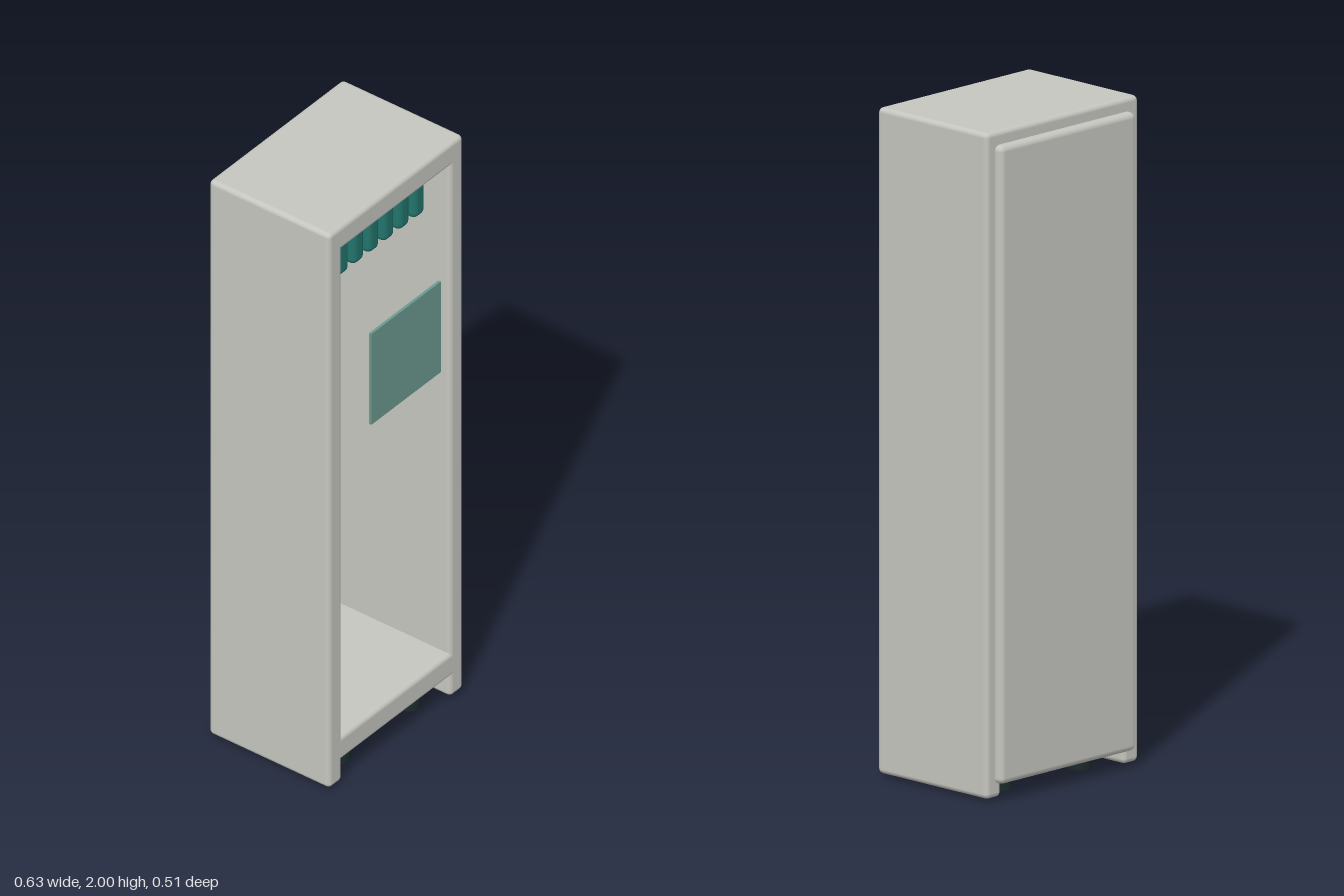
import * as THREE from 'three';
import { RoundedBoxGeometry } from 'three/addons/geometries/RoundedBoxGeometry.js';

function flat(name, color) {
  const m = new THREE.MeshStandardMaterial({ color });
  m.name = name;
  return m;
}

export function createModel() {
  const model = new THREE.Group();
  model.name = 'cabinet';
  const shell = flat('warm grey', 0xc6c6c0);
  const teal = flat('deep teal', 0x22736b);
  const glass = flat('pale teal', 0x6a9a8f);
  const rubber = flat('dark rubber', 0x1c2a2a);

  function add(name, geometry, material, x, y, z) {
    const mesh = new THREE.Mesh(geometry, material);
    mesh.name = name;
    mesh.position.set(x, y, z);
    model.add(mesh);
  }
  // Rounded slab given by its lower and upper limits on each axis
  function slab(name, material, [x0, x1], [y0, y1], [z0, z1], radius) {
    add(name, new RoundedBoxGeometry(x1 - x0, y1 - y0, z1 - z0, 3, radius), material,
      (x0 + x1) / 2, (y0 + y1) / 2, (z0 + z1) / 2);
  }

  // Open-fronted case
  const depth = [-0.227, 0.217];
  slab('leftSide', shell, [0.253, 0.315], [0.008, 2], depth, 0.015);
  slab('rightSide', shell, [-0.315, -0.253], [0.008, 2], depth, 0.015);
  slab('topPanel', shell, [-0.315, 0.315], [1.918, 2], depth, 0.015);
  slab('floorPanel', shell, [-0.28, 0.28], [0.082, 0.165], depth, 0.015);
  slab('backPanel', shell, [-0.281, 0.281], [0.05, 1.96], [-0.253, -0.208], 0.018);

  // Row of hanging fingers under the top panel
  for (let i = 0; i < 6; i++) {
    const x = -0.179 + i * 0.0711;
    slab('hangingFinger', teal, [x - 0.0275, x + 0.0275], [1.76, 1.95], [0.117, 0.167], 0.02);
  }

  // Thin pane floating in front of the opening
  add('frontPane', new THREE.BoxGeometry(0.326, 0.326, 0.009), glass, 0, 1.412, 0.248);

  // Four feet
  for (const x of [-0.163, 0.163]) {
    for (const z of [-0.135, 0.135]) {
      add('foot', new THREE.CylinderGeometry(0.035, 0.035, 0.1, 20), rubber, x, 0.05, z);
    }
  }
  return model;
}
